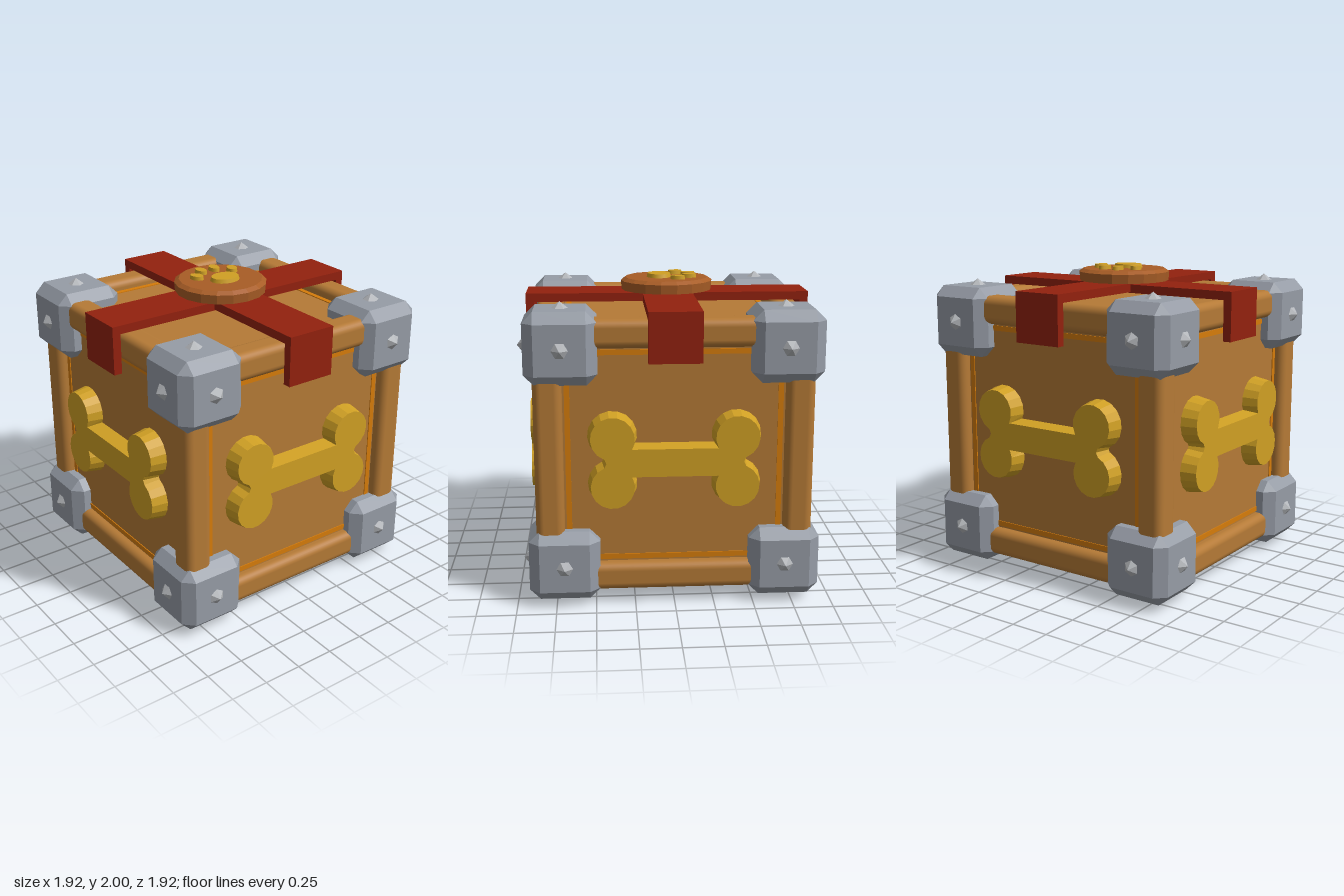
import * as THREE from 'three';
import { ConvexGeometry } from 'three/addons/geometries/ConvexGeometry.js';
import { RoundedBoxGeometry } from 'three/addons/geometries/RoundedBoxGeometry.js';

const CENTER_Y = 0.96;

function material(name, color, flatShading = false) {
  const m = new THREE.MeshStandardMaterial({ color, flatShading });
  m.name = name;
  return m;
}

// Box with every edge cut at 45 degrees
function chamferedBox(half, cut) {
  const points = [], inner = half - cut;
  for (const x of [-1, 1]) for (const y of [-1, 1]) for (const z of [-1, 1]) {
    points.push(
      new THREE.Vector3(x * half, y * inner, z * inner),
      new THREE.Vector3(x * inner, y * half, z * inner),
      new THREE.Vector3(x * inner, y * inner, z * half));
  }
  return new ConvexGeometry(points);
}

// Bone outline: four round lobes joined by a straight shaft
function boneShape() {
  const cx = 0.387, cy = 0.155, r = 0.137, steps = 13;
  const quarter = [];
  for (let i = 0; i <= steps; i++) {
    const a = THREE.MathUtils.degToRad(209 - (209 + 68) * i / steps);
    quarter.push([cx + r * Math.cos(a), cy + r * Math.sin(a)]);
  }
  const flip = (sx, sy) => quarter.map(([x, y]) => [x * sx, y * sy]);
  const outline = [
    ...flip(1, 1), [0.425, 0], ...flip(1, -1).reverse(),
    ...flip(-1, -1), [-0.425, 0], ...flip(-1, 1).reverse(),
  ];
  return new THREE.Shape(outline.map(([x, y]) => new THREE.Vector2(x, y)).reverse());
}

function squareFrame(outer, inner) {
  const square = (h) => [[-h, -h], [h, -h], [h, h], [-h, h]].map(([x, y]) => new THREE.Vector2(x, y));
  const shape = new THREE.Shape(square(outer));
  shape.holes.push(new THREE.Path(square(inner).reverse()));
  return shape;
}

// Strap across the lid with both ends hanging down the sides
function strapGeometry(half, top, width) {
  const t = 0.055, bottom = 1.57;
  const shape = new THREE.Shape([
    [-half, bottom], [-half + t, bottom], [-half + t, top - t], [half - t, top - t],
    [half - t, bottom], [half, bottom], [half, top], [-half, top],
  ].map(([x, y]) => new THREE.Vector2(x, y)));
  return new THREE.ExtrudeGeometry(shape, { depth: width, bevelEnabled: false }).translate(0, 0, -width / 2);
}

export function createModel() {
  const model = new THREE.Group();
  model.name = 'crate';
  const wood = material('wood', 0xb57a36);
  const orange = material('orangeTrim', 0xd67c0a);
  const metal = material('metal', 0x969ca6);
  const studMetal = material('studMetal', 0xb4b7bb, true);
  const red = material('redStrap', 0x93210e);
  const gold = material('gold', 0xd0a024);
  const sealBrown = material('sealBrown', 0xa85d26, true);

  const add = (parent, name, geometry, mat, x = 0, y = 0, z = 0) => {
    const mesh = new THREE.Mesh(geometry, mat);
    mesh.name = name;
    mesh.position.set(x, y, z);
    parent.add(mesh);
    return mesh;
  };

  const box = new THREE.Group();
  box.name = 'box';
  box.position.y = CENTER_Y;
  model.add(box);

  // Body
  const P = 0.8;
  add(box, 'body', new THREE.BoxGeometry(2 * P, 2 * P, 2 * P), wood);

  // Orange trim on each of the six faces, bones on the four sides
  const trim = new THREE.ExtrudeGeometry(squareFrame(0.678, 0.645), { depth: 0.006, bevelEnabled: false });
  const bone = new THREE.ExtrudeGeometry(boneShape(), {
    depth: 0.02, bevelThickness: 0.12, bevelSize: 0.02, bevelSegments: 1,
  });
  const turns = [[0, 0], [0, 1], [0, 2], [0, 3], [-1, 0], [1, 0]];
  turns.forEach(([rx, ry], i) => {
    const face = new THREE.Group();
    face.name = 'face';
    face.rotation.set(rx * Math.PI / 2, ry * Math.PI / 2, 0);
    box.add(face);
    add(face, 'trim', trim, orange, 0, 0, P);
    if (i < 4) add(face, 'bone', bone, gold, 0, -0.015, 0.765);
  });

  // Twelve rounded edge beams
  const E = 0.78;
  for (const a of [-E, E]) for (const b of [-E, E]) {
    add(box, 'beamAcross', new RoundedBoxGeometry(1.15, 0.18, 0.18, 3, 0.05), wood, 0, a, b);
    add(box, 'beamUpright', new RoundedBoxGeometry(0.18, 1.15, 0.18, 3, 0.05), wood, a, 0, b);
    add(box, 'beamDeep', new RoundedBoxGeometry(0.18, 0.18, 1.15, 3, 0.05), wood, a, b, 0);
  }

  // Eight metal corners, each with three pointed studs
  const cornerGeometry = chamferedBox(0.225, 0.067);
  const studGeometry = new THREE.ConeGeometry(0.052, 0.04, 6).translate(0, 0.02, 0);
  const up = new THREE.Vector3(0, 1, 0);
  for (const x of [-1, 1]) for (const y of [-1, 1]) for (const z of [-1, 1]) {
    const corner = new THREE.Group();
    corner.name = 'corner';
    corner.position.set(x, y, z).multiplyScalar(0.695);
    box.add(corner);
    add(corner, 'cornerBlock', cornerGeometry, metal);
    for (const dir of [[x, 0, 0], [0, y, 0], [0, 0, z]]) {
      const d = new THREE.Vector3(...dir);
      const stud = add(corner, 'stud', studGeometry, studMetal);
      stud.position.copy(d).multiplyScalar(0.225);
      stud.quaternion.setFromUnitVectors(up, d);
    }
  }

  // Crossed straps
  add(model, 'strapAcross', strapGeometry(0.925, 1.885, 0.33), red);
  add(model, 'strapDeep', strapGeometry(0.933, 1.89, 0.33), red).rotation.y = Math.PI / 2;

  // Round seal with a bevelled rim
  const sealProfile = [[0, 1.885], [0.3, 1.895], [0.305, 1.955], [0.275, 1.975], [0, 1.975]]
    .map(([x, y]) => new THREE.Vector2(x, y));
  add(model, 'seal', new THREE.LatheGeometry(sealProfile, 18), sealBrown);

  // Paw pads: x, z, half width, half depth, turn
  const padGeometry = new THREE.CylinderGeometry(0.88, 1, 0.04, 16);
  [
    [0, 0.05, 0.108, 0.086, 0],
    [-0.142, -0.067, 0.038, 0.053, 0.35],
    [-0.053, -0.147, 0.036, 0.053, 0.1],
    [0.053, -0.147, 0.036, 0.053, -0.1],
    [0.142, -0.067, 0.038, 0.053, -0.35],
  ].forEach(([x, z, w, d, turn], i) => {
    const pad = add(model, i ? 'toePad' : 'mainPad', padGeometry, gold, x, 1.98, z);
    pad.scale.set(w, 1, d);
    pad.rotation.y = turn;
  });

  return model;
}
